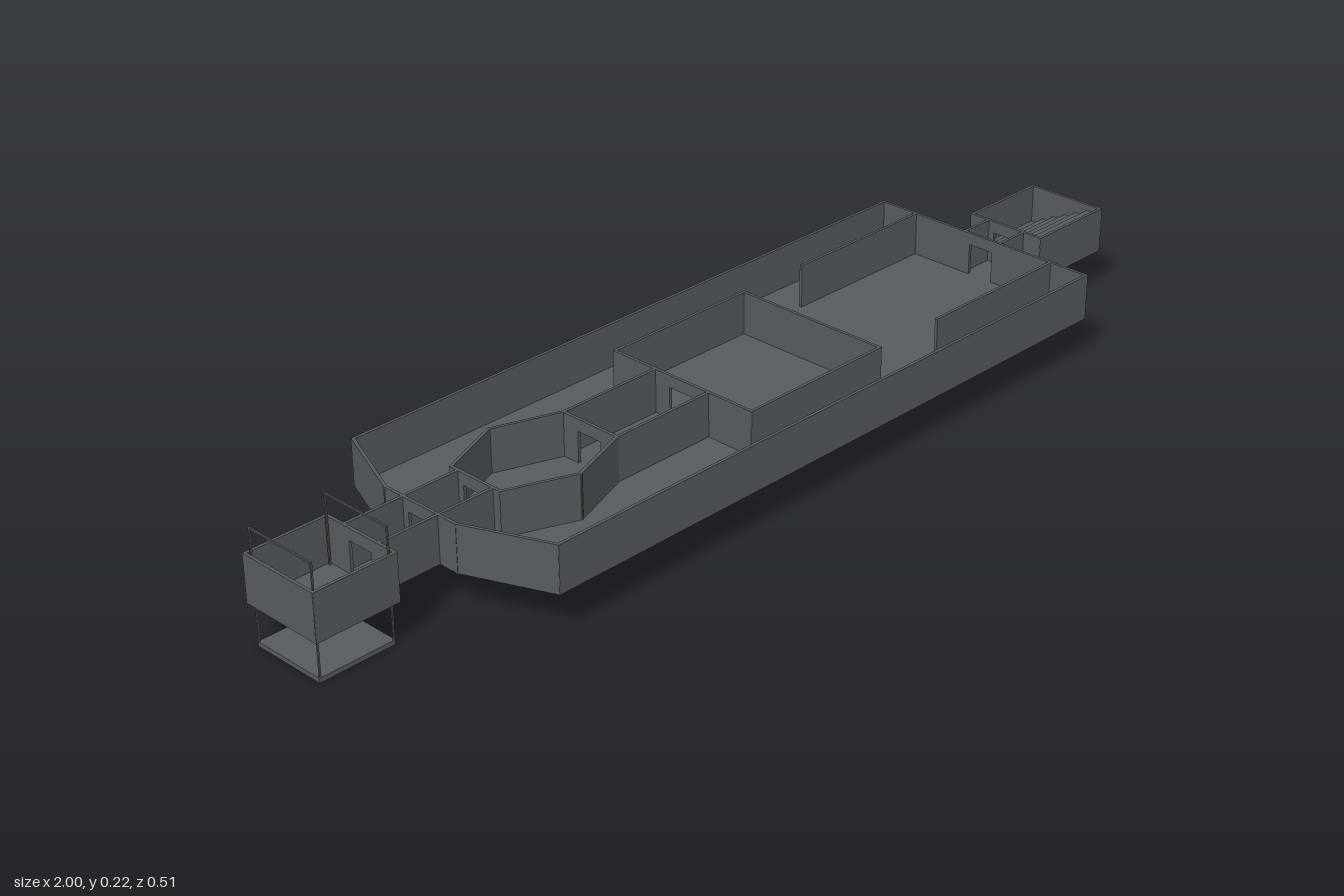
import * as THREE from 'three';

const FLOOR = 0.08, TOP = 0.172, T = 0.006;

export function createModel() {
  const group = new THREE.Group();
  const hull = new THREE.MeshStandardMaterial({ color: 0x565b5e });
  hull.name = 'slate grey';

  function add(name, geometry) {
    const mesh = new THREE.Mesh(geometry, hull);
    mesh.name = name;
    group.add(mesh);
    return mesh;
  }
  function box(name, x0, x1, y0, y1, z0, z1) {
    const m = add(name, new THREE.BoxGeometry(x1 - x0, y1 - y0, z1 - z0));
    m.position.set((x0 + x1) / 2, (y0 + y1) / 2, (z0 + z1) / 2);
  }
  // Thin upright wall between two plan points
  function wall(name, x0, z0, x1, z1, y0 = FLOOR, y1 = TOP) {
    const len = Math.hypot(x1 - x0, z1 - z0);
    const m = add(name, new THREE.BoxGeometry(len + T * 0.8, y1 - y0, T));
    m.position.set((x0 + x1) / 2, (y0 + y1) / 2, (z0 + z1) / 2);
    m.rotation.y = -Math.atan2(z1 - z0, x1 - x0);
  }
  // The same run of walls on both sides of the long axis
  function sides(name, points) {
    for (const s of [1, -1]) {
      for (let i = 0; i + 1 < points.length; i++) {
        const [a, b] = [points[i], points[i + 1]];
        wall(name, a[0], a[1] * s, b[0], b[1] * s);
      }
    }
  }
  // Cross wall with a central doorway under a lintel
  function doorWall(name, x, half, door = 0.03, head = 0.148) {
    for (const s of [1, -1]) wall(name, x, s * door, x, s * half);
    wall(name + 'Lintel', x, -door, x, door, head, TOP);
  }
  // Flat floor from a half outline mirrored across the long axis
  function floor(name, half, y0, y1) {
    const pts = [...half, ...half.slice().reverse().map(([x, z]) => [x, -z])];
    const shape = new THREE.Shape(pts.map(([x, z]) => new THREE.Vector2(x, -z)));
    const g = new THREE.ExtrudeGeometry(shape, { depth: y1 - y0, bevelEnabled: false });
    g.rotateX(-Math.PI / 2);
    add(name, g).position.y = y0;
  }

  // Main tray
  const tray = [[-0.709, 0.086], [-0.641, 0.251], [0.728, 0.251]];
  floor('mainFloor', tray, 0.08, 0.085);
  sides('outerWall', tray);
  doorWall('outerLeftWall', -0.709, 0.086);
  doorWall('outerRightWall', 0.728, 0.251);

  // Chain of rooms along the middle
  const entry = [[-0.709, 0.043], [-0.59, 0.043]];
  const hexagon = [[-0.59, 0.06], [-0.46, 0.112], [-0.33, 0.065]];
  const passage = [[-0.33, 0.065], [-0.107, 0.065]];
  const hall = [[-0.107, 0.167], [0.229, 0.167]];
  sides('entryWall', entry);
  sides('hexagonRoomWall', hexagon);
  sides('passageWall', passage);
  sides('hallWall', hall);
  doorWall('hexagonDoorWall', -0.59, 0.06);
  doorWall('passageDoorWall', -0.33, 0.065);
  doorWall('hallDoorWall', -0.107, 0.167);
  wall('hallEndWall', 0.229, -0.167, 0.229, 0.167);
  floor('roomFloor', [...entry, ...hexagon, passage[1], ...hall], 0.078, 0.086);

  // Free-standing partitions
  sides('partition', [[0.39, 0.167], [0.728, 0.167]]);

  // Connectors to the end rooms
  for (const [x0, x1] of [[-0.83, -0.709], [0.728, 0.803]]) {
    sides('connectorWall', [[x0, 0.043], [x1, 0.043]]);
    box('connectorFloor', x0, x1, 0.08, 0.085, -0.045, 0.045);
  }

  // End rooms
  for (const [outer, inner] of [[-0.997, -0.833], [0.997, 0.803]]) {
    sides('endRoomWall', [[outer, 0.084], [inner, 0.084]]);
    wall('endRoomEndWall', outer, -0.084, outer, 0.084);
    doorWall('endRoomDoorWall', inner, 0.084);
    box('endRoomFloor', Math.min(outer, inner), Math.max(outer, inner), 0.08, 0.085, -0.084, 0.084);
  }

  // Stairs in the right end room
  const steps = 6, run = 0.162 / steps;
  for (let i = 0; i < steps; i++) {
    box('stair', 0.806, 0.994, 0.085, 0.095 + i * 0.013, -0.081 + i * run, -0.081 + (i + 1) * run);
  }

  // Lift platform hung from two thin frames
  const w = 0.0015;
  box('liftPlatform', -0.992, -0.838, 0, 0.009, -0.077, 0.077);
  for (const x of [-0.99, -0.84]) {
    for (const z of [-0.076, 0.076]) box('liftPost', x - w, x + w, 0.004, 0.219, z - w, z + w);
    box('liftCrossbar', x - w, x + w, 0.216, 0.219, -0.0775, 0.0775);
  }

  return group;
}
